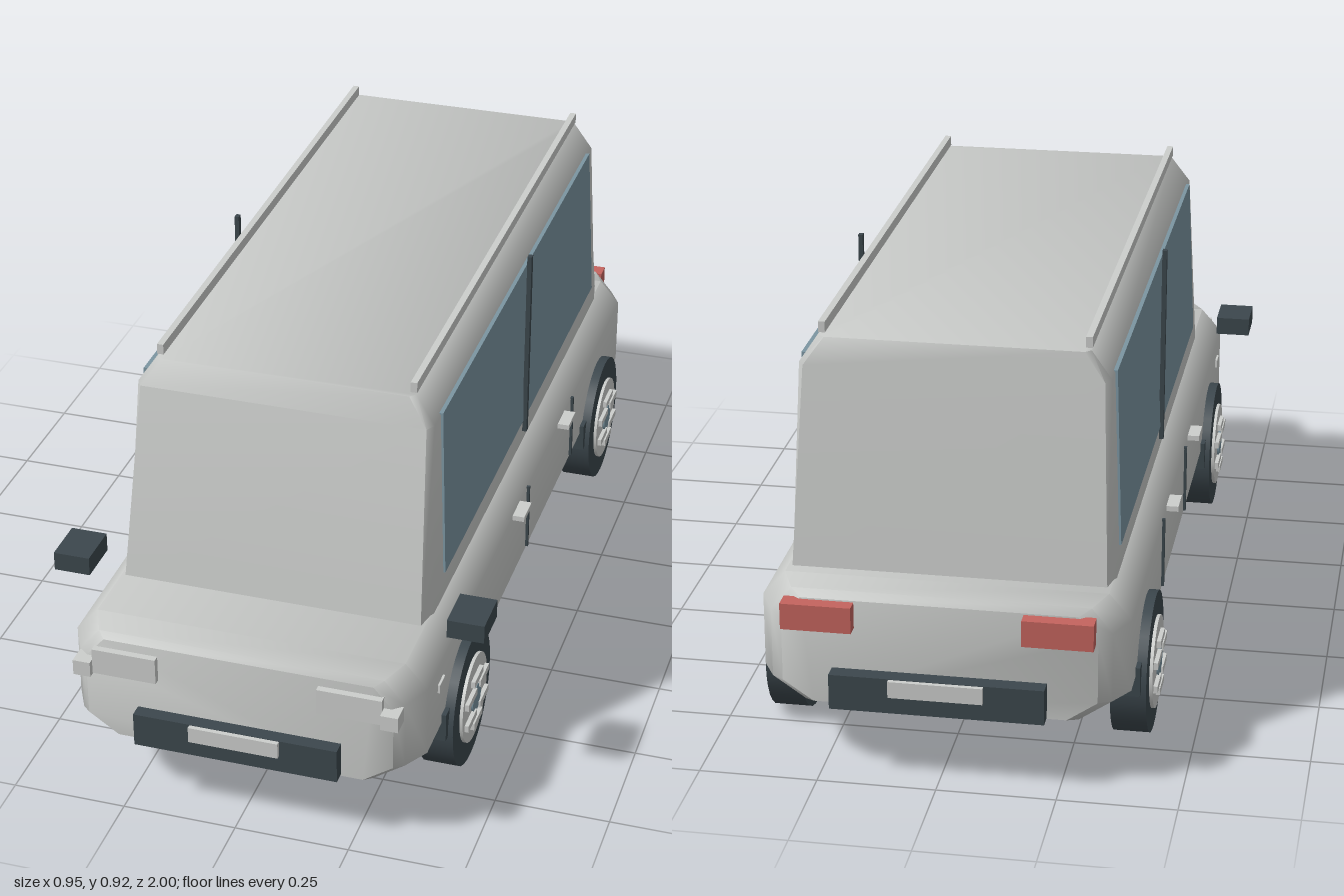
import * as THREE from 'three';
import { toCreasedNormals } from 'three/addons/utils/BufferGeometryUtils.js';

const mat = (name, color) => {
  const m = new THREE.MeshStandardMaterial({ color });
  m.name = name;
  return m;
};

// Closed skin through rings of [x, y, z]; rings run counter-clockwise seen from the last ring's end.
function loft(rings, crease) {
  const n = rings[0].length, last = (rings.length - 1) * n, index = [];
  for (let k = 0; k < rings.length - 1; k++) {
    for (let i = 0; i < n; i++) {
      const a = k * n + i, b = k * n + (i + 1) % n;
      index.push(a, b, b + n, a, b + n, a + n);
    }
  }
  for (let i = 1; i < n - 1; i++) {
    index.push(0, i + 1, i, last, last + i, last + i + 1);
  }
  const g = new THREE.BufferGeometry();
  g.setAttribute('position', new THREE.Float32BufferAttribute(rings.flat(2), 3));
  g.setIndex(index);
  return toCreasedNormals(g, crease);
}

export function createModel() {
  const car = new THREE.Group();
  car.name = 'car';
  const paint = mat('body paint', 0xc6c8c6);
  const metal = mat('bright trim', 0xcccecc);
  const dark = mat('dark rubber', 0x3c474d);
  const glass = mat('blue glass', 0x7b95a1);
  const red = mat('red lamp', 0xc4645e);

  const add = (name, geometry, material, parent = car) => {
    const m = new THREE.Mesh(geometry, material);
    m.name = name;
    parent.add(m);
    return m;
  };
  // Box given by its limits on each axis
  const box = (name, material, [x0, x1], [y0, y1], [z0, z1], parent = car) => {
    const m = add(name, new THREE.BoxGeometry(Math.abs(x1 - x0), y1 - y0, Math.abs(z1 - z0)), material, parent);
    m.position.set((x0 + x1) / 2, (y0 + y1) / 2, (z0 + z1) / 2);
    return m;
  };

  // Lower body: chamfered section, drawn in at both ends
  const half = [[0.31, 0.145], [0.385, 0.195], [0.385, 0.355], [0.337, 0.41]];
  const section = [...half, ...half.map(([x, y]) => [-x, y]).reverse()];
  const stations = [[-0.955, 0.85, 0.88], [-0.93, 0.92, 0.95], [-0.87, 1, 1],
    [0.88, 1, 1], [0.94, 0.92, 0.95], [0.96, 0.87, 0.9]];
  add('lowerBody', loft(stations.map(([z, sx, sy]) =>
    section.map(([x, y]) => [x * sx, 0.27 + (y - 0.27) * sy, z])), 0.9), paint);

  // Cabin: tapering upward, with narrow corner pillars and a bevelled roof edge
  const cabinRing = (y, w, front, back, c) => [
    [-w + 0.012, y, front], [w - 0.012, y, front], [w, y, front - c], [w, y, back + c],
    [w - 0.012, y, back], [-w + 0.012, y, back], [-w, y, back + c], [-w, y, front - c]];
  add('cabin', loft([
    cabinRing(0.4, 0.341, 0.742, -0.842, 0.06),
    cabinRing(0.83, 0.323, 0.65, -0.778, 0.02),
    cabinRing(0.89, 0.28, 0.63, -0.767, 0.012),
  ], 1.0), paint);

  for (const s of [1, -1]) {
    const side = s > 0 ? 'left' : 'right';

    // Side glass leaning with the cabin wall
    const paneRing = (y, xi, xo, front, back) => {
      const a = Math.min(s * xi, s * xo), b = Math.max(s * xi, s * xo);
      return [[a, y, front], [b, y, front], [b, y, back], [a, y, back]];
    };
    add(side + 'SideWindow', loft([
      paneRing(0.46, 0.335, 0.343, 0.605, -0.738),
      paneRing(0.835, 0.319, 0.328, 0.585, -0.715),
    ], 0.3), glass);

    box(side + 'Pillar', dark, [s * 0.34, s * 0.35], [0.43, 0.88], [-0.072, -0.058]);
    box(side + 'RoofRail', metal, [s * 0.268, s * 0.282], [0.895, 0.918], [-0.755, 0.62]);
    box(side + 'Mirror', dark, [s * 0.395, s * 0.475], [0.42, 0.462], [0.675, 0.778]);
    box(side + 'Marker', metal, [s * 0.38, s * 0.39], [0.295, 0.315], [0.765, 0.805]);

    // Doors
    for (const z of [0.162, -0.26]) {
      box(side + 'DoorHandle', metal, [s * 0.385, s * 0.412], [0.349, 0.361], [z - 0.033, z + 0.033]);
    }
    for (const z of [0.062, -0.362]) {
      box(side + 'DoorSeam', dark, [s * 0.384, s * 0.391], [0.2, 0.36], [z - 0.004, z + 0.004]);
    }

    // Lamps
    box(side + 'Headlight', metal, [s * 0.175, s * 0.315], [0.317, 0.376], [0.94, 0.975]);
    box(side + 'Indicator', metal, [s * 0.315, s * 0.353], [0.315, 0.35], [0.945, 0.988]);
    box(side + 'TailLight', red, [s * 0.175, s * 0.322], [0.333, 0.39], [-0.985, -0.945]);

    // Wheels
    for (const z of [0.605, -0.64]) {
      box(side + 'WheelArch', dark, [s * 0.29, s * 0.395], [0.15, 0.216], [z - 0.168, z + 0.168]);
      const wheel = new THREE.Group();
      wheel.name = side + 'Wheel';
      wheel.position.set(s * 0.368, 0.152, z);
      car.add(wheel);
      for (const [name, r, width, material] of [
        ['tyre', 0.152, 0.076, dark], ['rim', 0.1, 0.09, metal], ['hub', 0.032, 0.1, glass]]) {
        add(name, new THREE.CylinderGeometry(r, r, width, 32).rotateZ(Math.PI / 2), material, wheel);
      }
      for (let i = 0; i < 6; i++) {
        const a = Math.PI / 2 + i * Math.PI / 3;
        const bar = add('rimBar', new THREE.BoxGeometry(0.108, 0.016, 0.068), metal, wheel);
        bar.position.set(0, Math.sin(a) * 0.055, Math.cos(a) * 0.055);
      }
    }
  }

  // Bumpers and blank plates at both ends
  for (const [end, s] of [['front', 1], ['rear', -1]]) {
    box(end + 'Bumper', dark, [-0.223, 0.223], [0.163, 0.24], [s * 0.94, s * 0.99]);
    box(end + 'Plate', metal, [-0.098, 0.098], [0.203, 0.239], [s * 0.985, s * 1.0]);
  }
  return car;
}
